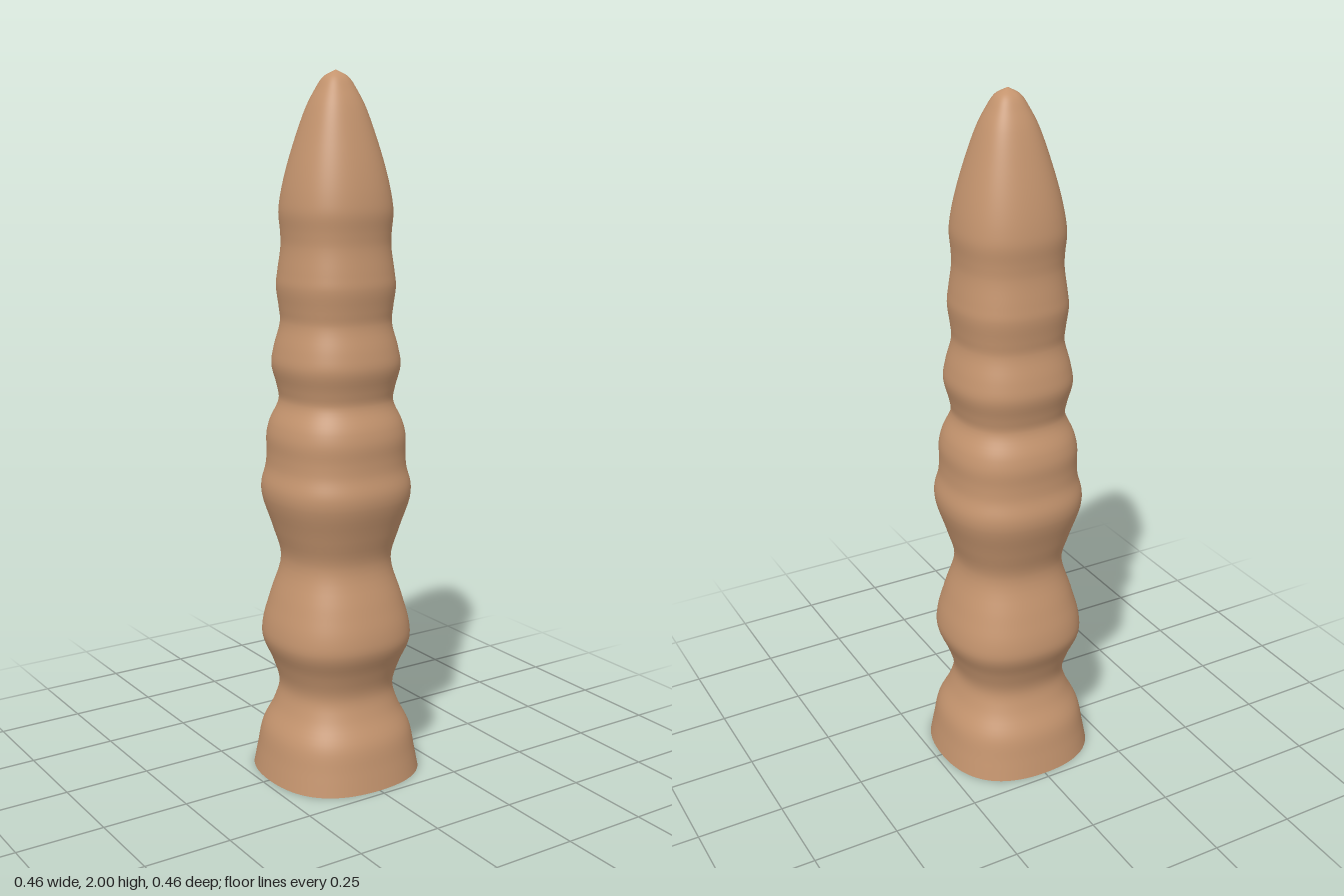
import * as THREE from 'three';

// Silhouette: radius and height, from the open base to the tip
const PROFILE = [
  [0.23, 0], [0.219, 0.06], [0.205, 0.13], [0.172, 0.2], [0.157, 0.26], [0.175, 0.33],
  [0.203, 0.4], [0.201, 0.45], [0.18, 0.53], [0.15, 0.64], [0.172, 0.73],
  [0.2, 0.82], [0.202, 0.86], [0.19, 0.91], [0.187, 0.95], [0.187, 1.0], [0.178, 1.04],
  [0.153, 1.1], [0.158, 1.14], [0.172, 1.2], [0.165, 1.25], [0.148, 1.32], [0.151, 1.36],
  [0.158, 1.42], [0.154, 1.46], [0.145, 1.53], [0.146, 1.57], [0.15, 1.62], [0.146, 1.66],
  [0.134, 1.72], [0.112, 1.8], [0.078, 1.9], [0.056, 1.945], [0.032, 1.982], [0, 2],
];

// Radius factor of a softly squared circle: each quarter is a quadratic
// curve from (1, 0) through corner (1, 1) to (0, 1)
function squareness(angle) {
  const c = Math.abs(Math.cos(angle)), s = Math.abs(Math.sin(angle));
  // Solve (1 - t^2) * s = (2t - t^2) * c for t
  const a = c - s;
  const t = Math.abs(a) < 1e-6 ? 1 / 2 : (c - Math.sqrt(Math.max(0, c * c - a * s))) / a;
  return Math.hypot(1 - t * t, 2 * t - t * t);
}

export function createModel() {
  const group = new THREE.Group();
  group.name = 'ribbedSpire';

  const curve = new THREE.CatmullRomCurve3(
    PROFILE.map(([r, y]) => new THREE.Vector3(r, y, 0)), false, 'centripetal');
  const points = curve.getPoints(170).map((p) => new THREE.Vector2(Math.max(0, p.x), p.y));

  // Turn the profile, then press the round section into a soft square
  const geometry = new THREE.LatheGeometry(points, 96);
  const pos = geometry.attributes.position;
  const normal = geometry.attributes.normal;
  const step = 1e-3;
  for (let i = 0; i < pos.count; i++) {
    const x = pos.getX(i), z = pos.getZ(i);
    const angle = Math.floor(i / points.length) * Math.PI * 2 / 96;
    const f = squareness(angle);
    const slope = (squareness(angle + step) - squareness(angle - step)) / (2 * step);
    // Normal of the pressed surface
    const sin = Math.sin(angle), cos = Math.cos(angle);
    const radial = Math.hypot(normal.getX(i), normal.getZ(i));
    const side = -radial * slope / f;
    const n = new THREE.Vector3(
      radial * sin + side * cos, normal.getY(i) * f, radial * cos - side * sin).normalize();
    pos.setXYZ(i, x * f, pos.getY(i), z * f);
    normal.setXYZ(i, n.x, n.y, n.z);
  }

  const body = new THREE.Mesh(geometry, new THREE.MeshStandardMaterial({
    color: 0xc4946e, side: THREE.DoubleSide,
  }));
  body.name = 'body';
  group.add(body);
  return group;
}
